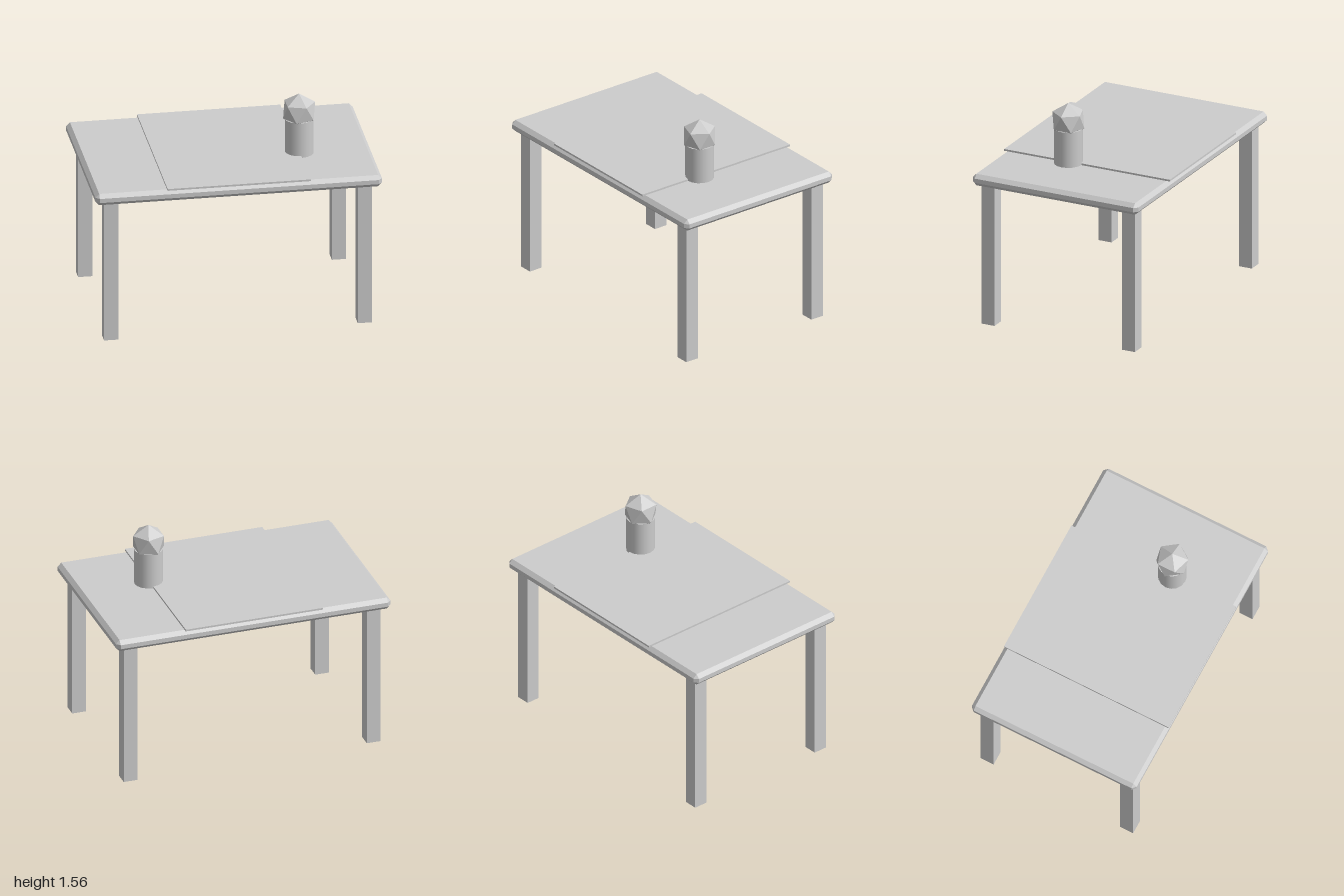
import * as THREE from 'three';
import { ConvexGeometry } from 'three/addons/geometries/ConvexGeometry.js';

// Box with every edge cut off by c
function chamferedBox(w, h, d, c) {
  const points = [];
  for (const sx of [-1, 1]) for (const sy of [-1, 1]) for (const sz of [-1, 1]) {
    const x = w / 2, y = h / 2, z = d / 2;
    points.push(
      new THREE.Vector3(sx * x, sy * (y - c), sz * (z - c)),
      new THREE.Vector3(sx * (x - c), sy * y, sz * (z - c)),
      new THREE.Vector3(sx * (x - c), sy * (y - c), sz * z)
    );
  }
  return new ConvexGeometry(points);
}

// Icosahedron standing on a vertex, with an upper-ring vertex toward +x
function uprightIcosahedron(r) {
  const ringR = r * 2 / Math.sqrt(5), ringY = r / Math.sqrt(5);
  const points = [new THREE.Vector3(0, r, 0), new THREE.Vector3(0, -r, 0)];
  for (let i = 0; i < 10; i++) {
    const a = i * Math.PI / 5;
    points.push(new THREE.Vector3(ringR * Math.cos(a), i % 2 ? -ringY : ringY, ringR * Math.sin(a)));
  }
  return new ConvexGeometry(points);
}

export function createModel() {
  const group = new THREE.Group();
  const grey = new THREE.MeshStandardMaterial({ color: 0xcccccc });
  grey.name = 'light grey';

  const add = (name, geometry, x, y, z) => {
    const mesh = new THREE.Mesh(geometry, grey);
    mesh.name = name;
    mesh.position.set(x, y, z);
    group.add(mesh);
  };

  // Table
  add('tabletop', chamferedBox(2, 0.085, 1.28, 0.027), 0, 1.0745, 0);
  const leg = new THREE.BoxGeometry(0.1, 1.033, 0.1);
  for (const [side, sx] of [['Left', 1], ['Right', -1]]) {
    for (const [end, sz] of [['front', 1], ['back', -1]]) {
      add(`${end}${side}Leg`, leg, sx * 0.885, 0.5165, sz * 0.542);
    }
  }

  // Cloth laid across the middle
  add('tableRunner', new THREE.BoxGeometry(1, 0.013, 1.28), 0, 1.1235, 0);

  // Vase with a faceted plant
  add('vase', new THREE.CylinderGeometry(0.1, 0.1, 0.26, 16), 0.5, 1.246, 0.144);
  add('plant', uprightIcosahedron(0.125), 0.5, 1.434, 0.144);

  return group;
}
